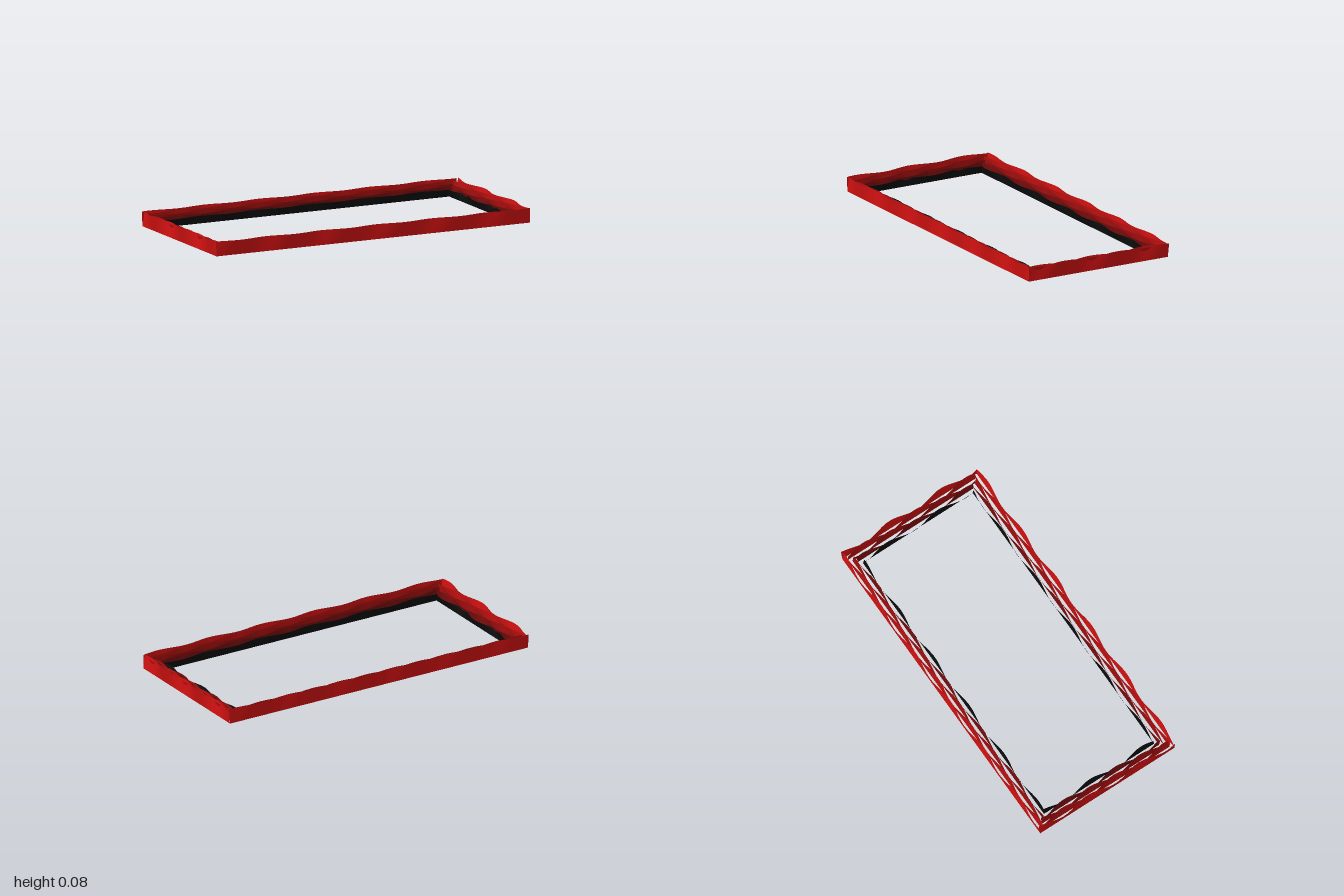
import * as THREE from 'three';

const PERIOD = 0.345;
const COLORS = [0xcc1010, 0xb40e0e, 0x980c0c, 0x700a0a, 0x0a0a0a];

// Thin upright sheet: straight along its foot, rippling in and out along its top
function makeSheet(length, height, amplitude, crest, phase, material) {
  const geometry = new THREE.PlaneGeometry(length, height, Math.round(length * 48), 4);
  geometry.translate(0, height / 2, 0);
  const p = geometry.attributes.position;
  for (let i = 0; i < p.count; i++) {
    const wave = Math.cos((2 * Math.PI * (p.getX(i) - crest)) / PERIOD + phase);
    p.setZ(i, (amplitude * wave * p.getY(i)) / height);
  }
  geometry.computeVertexNormals();
  return new THREE.Mesh(geometry, material);
}

export function createModel() {
  const model = new THREE.Group();
  model.name = 'rippledFrame';

  // Nested rectangular layers, lower and darker towards the inside
  COLORS.forEach((color, i) => {
    const layer = new THREE.Group();
    layer.name = `layer${i + 1}`;
    const material = new THREE.MeshStandardMaterial({ color, side: THREE.DoubleSide });
    const halfX = 0.985 - i * 0.021;
    const halfZ = 0.453 - i * 0.0205;
    const height = 0.083 - i * 0.0105;
    const phase = i * 2.8;

    // name, half length, distance out, turn, ripple depth, crest position along the wall
    const walls = [
      ['frontWall', halfX, halfZ, 0, 0.01, 0.195],
      ['backWall', halfX, halfZ, Math.PI, 0.01, -0.1],
      ['leftWall', halfZ, halfX, Math.PI / 2, 0.015, -0.2175],
      ['rightWall', halfZ, halfX, -Math.PI / 2, 0.015, 0.045],
    ];
    for (const [name, half, out, turn, depth, crest] of walls) {
      const wall = makeSheet(half * 2, height, depth, crest, phase, material);
      wall.name = name;
      wall.rotation.y = turn;
      wall.position.set(Math.sin(turn) * out, 0, Math.cos(turn) * out);
      layer.add(wall);
    }
    model.add(layer);
  });

  return model;
}
